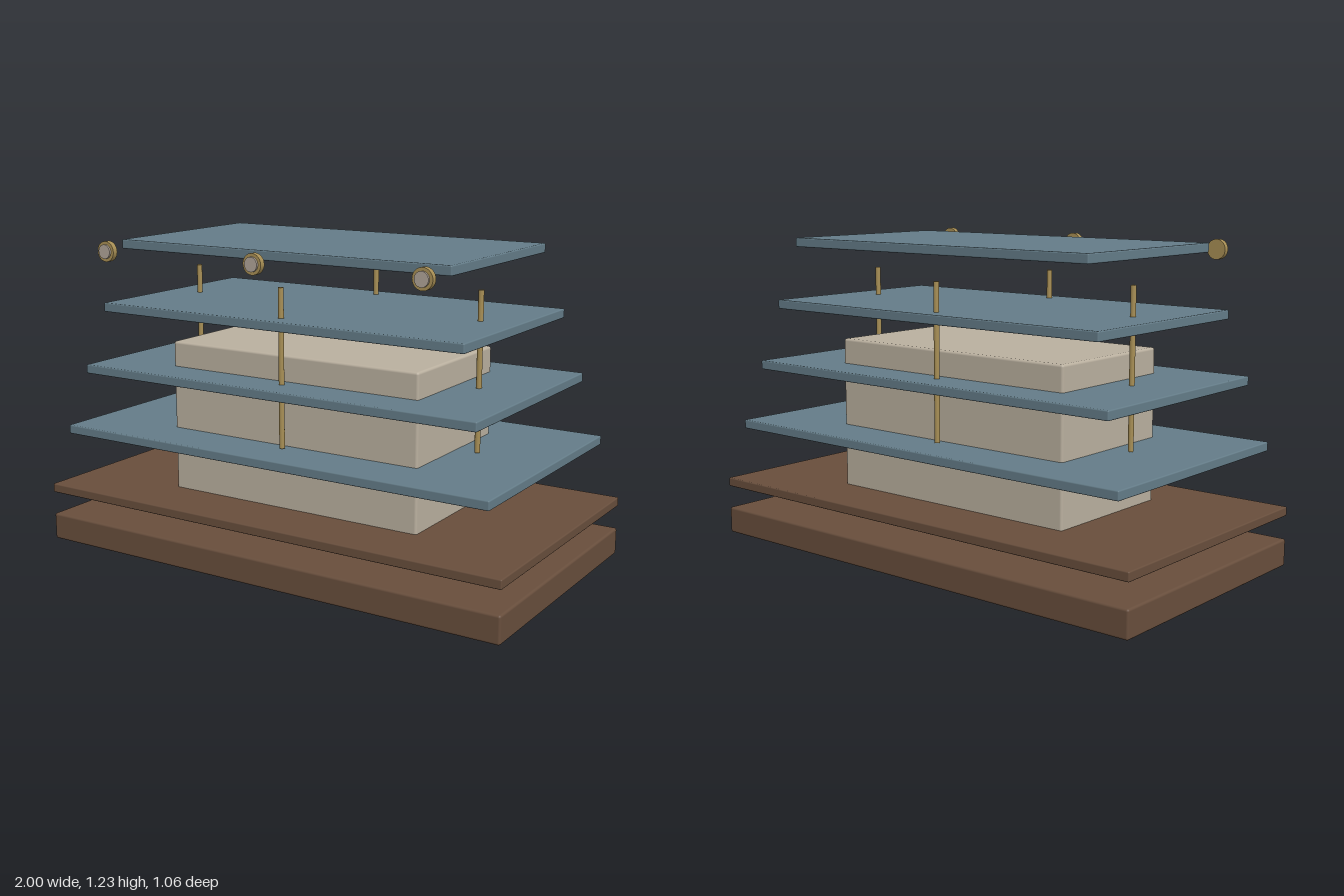
import * as THREE from 'three';
import { RoundedBoxGeometry } from 'three/addons/geometries/RoundedBoxGeometry.js';

const material = (name, color) => {
  const m = new THREE.MeshStandardMaterial({ color });
  m.name = name;
  return m;
};

export function createModel() {
  const brown = material('brown wood', 0x684e3c);
  const slate = material('slate blue', 0x647c88);
  const stone = material('pale stone', 0xbab09f);
  const brass = material('brass', 0xa88f55);
  const silver = material('warm grey', 0xb0a498);

  const model = new THREE.Group();
  model.name = 'explodedTiers';

  const add = (name, geometry, mat, x, y, z, parent = model) => {
    const mesh = new THREE.Mesh(geometry, mat);
    mesh.name = name;
    mesh.position.set(x, y, z);
    parent.add(mesh);
    return mesh;
  };
  // Slab centred on the vertical axis, given by half sizes and height range
  const slab = (name, mat, halfX, halfZ, y0, y1, bevel) =>
    add(name, new RoundedBoxGeometry(halfX * 2, y1 - y0, halfZ * 2, 2, bevel), mat, 0, (y0 + y1) / 2, 0);

  // Base, its lid and the central block
  slab('base', brown, 1, 0.531, 0, 0.107, 0.009);
  slab('baseLid', brown, 1, 0.531, 0.197, 0.233, 0.005);
  slab('coreBlock', stone, 0.548, 0.291, 0.124, 0.829, 0.01);

  // Four plates that shrink evenly upward
  for (let i = 0; i < 4; i++) {
    const y = 0.463 + i * 0.2485;
    slab('plate' + (i + 1), slate, 0.93 - i * 0.071, 0.495 - i * 0.0375, y - 0.018, y + 0.018, 0.005);
  }

  // Thin rods at the middle of each side
  const rodGeometry = new THREE.CylinderGeometry(0.0105, 0.0105, 0.605, 16);
  for (const [x, z] of [[0, 0.34], [0, -0.34], [0.64, 0], [-0.64, 0]]) {
    add('rod', rodGeometry, brass, x, 0.789, z);
  }

  // Floating knobs along the front, each with a smaller cap
  const knobGeometry = new THREE.CylinderGeometry(0.039, 0.039, 0.022, 32).rotateX(Math.PI / 2);
  const capGeometry = new THREE.CylinderGeometry(0.027, 0.027, 0.009, 32).rotateX(Math.PI / 2);
  for (const x of [-0.68, 0, 0.68]) {
    const knob = new THREE.Group();
    knob.name = 'knob';
    knob.position.set(x, 1.195, 0.506);
    add('knobBody', knobGeometry, brass, 0, 0, 0, knob);
    add('knobCap', capGeometry, silver, 0, 0, 0.0145, knob);
    model.add(knob);
  }
  return model;
}
